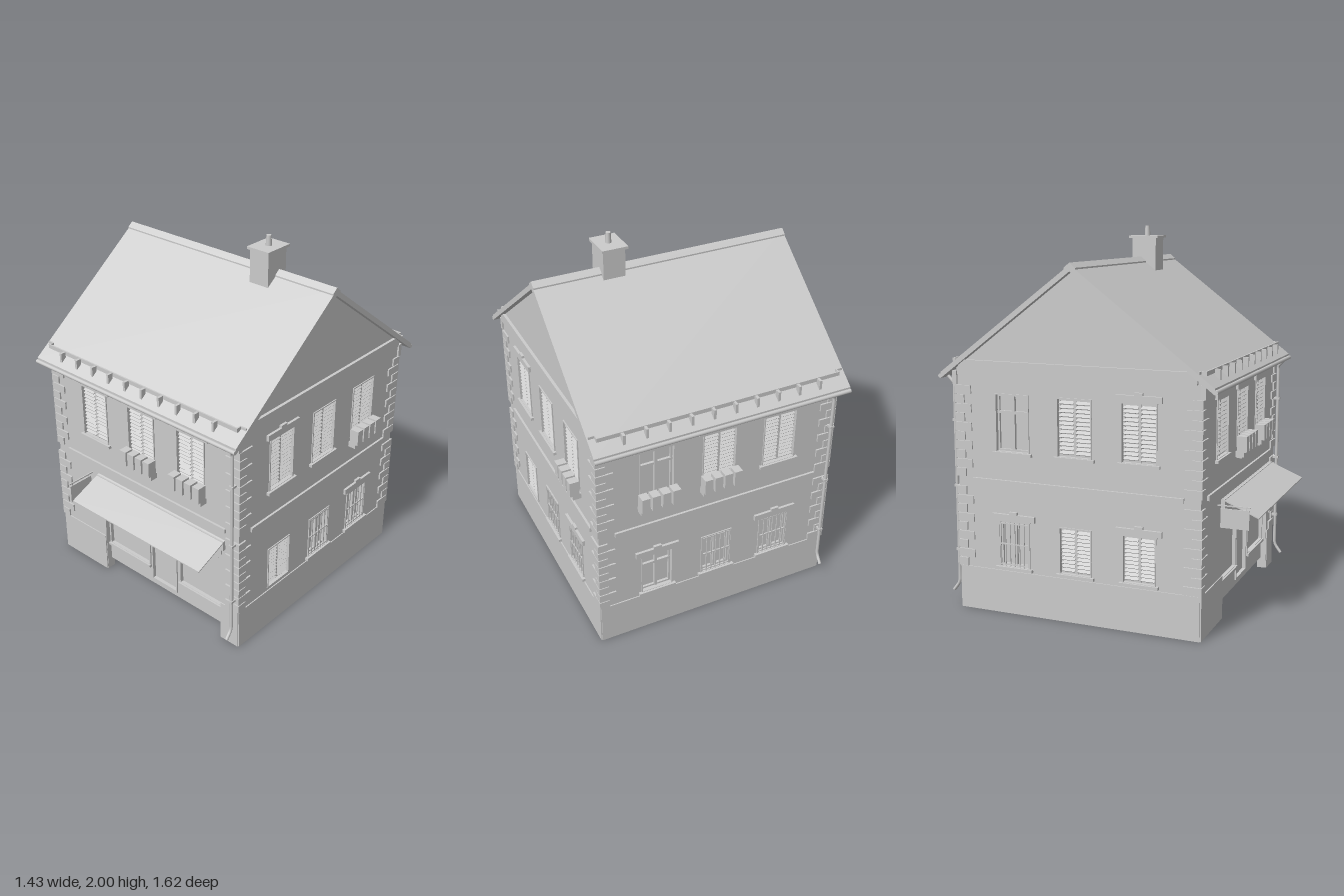
import * as THREE from 'three';

const mat = new THREE.MeshStandardMaterial({ color: 0xcccccc, flatShading: true, side: THREE.DoubleSide });
const smooth = new THREE.MeshStandardMaterial({ color: 0xcccccc, side: THREE.DoubleSide });
const CX = -0.0175, CZ = -0.055, H = 0.666; // house centre and half width
const SLOPE = 0.755, RIDGE = 1.82;

function add(parent, name, geo, x = 0, y = 0, z = 0, m = mat) {
  const mesh = new THREE.Mesh(geo, m);
  mesh.name = name;
  mesh.position.set(x, y, z);
  parent.add(mesh);
  return mesh;
}
// box given by its limits
function box(parent, name, x0, x1, y0, y1, z0, z1) {
  return add(parent, name, new THREE.BoxGeometry(x1 - x0, y1 - y0, z1 - z0),
    (x0 + x1) / 2, (y0 + y1) / 2, (z0 + z1) / 2);
}
function group(parent, name) {
  const g = new THREE.Group();
  g.name = name;
  parent.add(g);
  return g;
}
const shapeOf = pts => new THREE.Shape(pts.map(p => new THREE.Vector2(...p)));
const rectPath = (x0, x1, y0, y1) =>
  new THREE.Path([[x0, y0], [x0, y1], [x1, y1], [x1, y0]].map(p => new THREE.Vector2(...p)));
const rectShape = (x0, x1, y0, y1) => shapeOf([[x0, y0], [x1, y0], [x1, y1], [x0, y1]]);
const extrude = (shape, depth) => new THREE.ExtrudeGeometry(shape, { depth, bevelEnabled: false });

// rectangular ring lying on the wall plane
function ring(parent, name, x0, x1, y0, y1, t, z0, z1) {
  const s = rectShape(x0, x1, y0, y1);
  s.holes.push(rectPath(x0 + t, x1 - t, y0 + t, y1 - t));
  return add(parent, name, extrude(s, z1 - z0), 0, 0, z0);
}

// flower box with four upright troughs
function planter(wall, u) {
  const g = group(wall, 'planter');
  box(g, 'planterShelf', u - 0.105, u + 0.105, 0.81, 0.84, 0, 0.045);
  for (const s of [-1, 1]) box(g, 'planterFoot', u + s * 0.08 - 0.008, u + s * 0.08 + 0.008, 0.8, 0.81, 0, 0.03);
  for (let i = 0; i < 4; i++) {
    const x = u - 0.084 + i * 0.056;
    box(g, 'planterTrough', x - 0.022, x + 0.022, 0.835, 0.92, 0.008, 0.06);
  }
}

// kind: plain, louver or bars; extras: h = header, p = planter, s = sill
function windowUnit(wall, u, upper, kind, extras) {
  const g = group(wall, 'window');
  const w = upper ? 0.096 : 0.09, y0 = upper ? 0.86 : 0.25, y1 = upper ? 1.165 : 0.5;
  ring(g, 'windowReveal', u - w, u + w, y0, y1, 0.006, -0.035, 0.006);
  ring(g, 'windowFrame', u - w, u + w, y0, y1, 0.016, -0.03, -0.015);
  box(g, 'windowPane', u - w, u + w, y0, y1, -0.035, -0.028);
  box(g, 'mullion', u - 0.008, u + 0.008, y0, y1, -0.03, -0.012);
  if (kind === 'plain') {
    const yt = y0 + (y1 - y0) * 0.68;
    box(g, 'transom', u - w, u + w, yt - 0.007, yt + 0.007, -0.03, -0.014);
  } else if (kind === 'louver') {
    const n = upper ? 13 : 11, step = (y1 - y0 - 0.03) / n;
    for (let i = 0; i < n; i++)
      for (const s of [-1, 1]) {
        const slat = add(g, 'shutterSlat', new THREE.BoxGeometry(w - 0.018, 0.004, 0.022),
          u + s * (w / 2 - 0.002), y0 + 0.015 + (i + 0.5) * step, -0.012);
        slat.rotation.x = 0.6;
      }
  } else {
    for (let i = 0; i < 7; i++)
      box(g, 'windowBar', u - 0.081 + i * 0.027 - 0.003, u - 0.081 + i * 0.027 + 0.003, y0, y1, -0.003, 0.003);
    for (const f of [0.06, 0.5, 0.94]) {
      const y = y0 + (y1 - y0) * f;
      box(g, 'windowCrossBar', u - w, u + w, y - 0.003, y + 0.003, -0.003, 0.004);
    }
  }
  if (extras.includes('s')) box(g, 'windowSill', u - w - 0.015, u + w + 0.015, y0 - 0.012, y0 + 0.004, -0.02, 0.018);
  if (extras.includes('h')) {
    const header = shapeOf([[-0.122, -0.035], [-0.1, -0.035], [-0.1, 0], [0.1, 0], [0.1, -0.035], [0.122, -0.035],
      [0.122, 0.036], [0.022, 0.036], [0.022, 0.05], [-0.022, 0.05], [-0.022, 0.036], [-0.122, 0.036]]
      .map(([x, y]) => [x, y < 0 ? 0.004 : y]));
    add(g, 'windowHeader', extrude(header, 0.014), u, y1, 0);
  }
  if (extras.includes('p')) planter(wall, u);
}

// one facade in its own frame: x along the wall, z outward
function facade(house, name, turn, isGable, isShop, upper, lower) {
  const wall = group(house, name);
  wall.position.set(CX + Math.sin(turn) * H, 0, CZ + Math.cos(turn) * H);
  wall.rotation.y = turn;
  const pts = isShop
    ? [[-H, 0], [-0.322, 0], [-0.322, 0.53], [0.547, 0.53], [0.547, 0], [H, 0]] : [[-H, 0], [H, 0]];
  pts.push([H, 1.295]);
  if (isGable) pts.push([0, 1.795]);
  pts.push([-H, 1.295]);
  const s = shapeOf(pts);
  const us = [-0.347, 0, 0.347];
  us.forEach((u, i) => {
    if (upper[i]) s.holes.push(rectPath(u - 0.094, u + 0.094, 0.862, 1.163));
    if (lower[i]) s.holes.push(rectPath(u - 0.088, u + 0.088, 0.252, 0.498));
    if (upper[i]) windowUnit(wall, u, true, ...upper[i]);
    if (lower[i]) windowUnit(wall, u, false, ...lower[i]);
  });
  add(wall, 'wallSheet', new THREE.ShapeGeometry(s));
  // plinth, string course and cornice
  const runs = isShop ? [[-H, -0.322], [0.547, H]] : [[-H, H]];
  for (const [a, b] of runs) box(wall, 'plinth', a, b, 0, 0.23, -0.006, 0.006);
  box(wall, 'stringCourse', -0.58, 0.58, 0.69, 0.715, 0, 0.012);
  if (isGable) box(wall, 'gableLedge', -0.645, 0.645, 1.27, 1.33, -0.005, 0.016);
  else box(wall, 'eavesCornice', -H - 0.01, H + 0.01, 1.2, 1.27, -0.005, 0.02);
  // quoins, long and short in turn, swapped at the other end
  for (let i = 0; i < 20; i++) {
    if (i === 9) continue;
    const y = 0.232 + i * 0.0485;
    for (const side of [-1, 1]) {
      const len = (i % 2 === 0) === (side > 0) ? 0.085 : 0.045;
      const a = side * (H + 0.009), b = side * (H - len);
      box(wall, 'quoin', Math.min(a, b), Math.max(a, b), y, y + 0.043, -0.003, 0.009);
    }
  }
  return wall;
}

function shopFront(wall) {
  const g = group(wall, 'shopFront');
  const s = rectShape(-0.322, 0.547, 0.06, 0.53);
  const panes = [[-0.306, 0.0, 0.18], [0.235, 0.535, 0.18], [0.025, 0.2, 0.1]];
  for (const [a, b, y] of panes) s.holes.push(rectPath(a, b, y, 0.5));
  add(g, 'shopPanel', extrude(s, 0.02), 0, 0, -0.05);
  for (const [a, b, y] of panes) {
    box(g, 'shopGlass', a, b, y, 0.5, -0.05, -0.042);
    ring(g, 'shopWindowFrame', a - 0.008, b + 0.008, y - 0.008, 0.508, 0.01, -0.045, -0.022);
  }
  for (const i of [0, 1]) box(g, 'shopWindowLedge', panes[i][0] - 0.01, panes[i][1] + 0.01, 0.165, 0.18, -0.03, -0.012);
  for (const x of [-0.322, 0.547]) box(g, 'shopReveal', x - 0.003, x + 0.003, 0, 0.53, -0.05, 0);
  box(g, 'shopLintel', -0.322, 0.547, 0.524, 0.53, -0.05, 0);

  // awning: cassette, sloping cloth and pointed trim
  const a = group(wall, 'awning');
  box(a, 'awningCassette', -0.347, 0.577, 0.585, 0.64, 0, 0.02);
  const cloth = shapeOf([[0.005, 0.643], [0.199, 0.562], [0.199, 0.556], [0.005, 0.637]]);
  const c = add(a, 'awningCloth', extrude(cloth, 0.924), 0.577);
  c.rotation.y = -Math.PI / 2;
  const trim = [[-0.335, 0.585], [-0.335, 0.558]];
  for (let i = 0; i < 20; i++) trim.push([-0.335 + (i + 0.5) * 0.045, 0.528], [-0.335 + (i + 1) * 0.045, 0.558]);
  trim.push([0.565, 0.585]);
  add(a, 'awningTrim', extrude(shapeOf(trim), 0.006), 0, 0, 0.014);

  // hanging sign board, left blank
  const sign = group(wall, 'hangingSign');
  box(sign, 'signBoard', -0.406, -0.4, 0.51, 0.61, 0.015, 0.165);
  box(sign, 'signArm', -0.406, -0.4, 0.622, 0.628, 0, 0.17);
  for (const z of [0.03, 0.15]) box(sign, 'signHanger', -0.405, -0.401, 0.61, 0.622, z - 0.002, z + 0.002);
}

function roof(house) {
  const g = group(house, 'roof');
  const e = 0.738, ye = RIDGE - SLOPE * e, t = 0.032;
  const profile = shapeOf([[0, RIDGE], [-e, ye], [-e, ye - t], [0, RIDGE - t], [e, ye - t], [e, ye]]);
  const slab = add(g, 'roofSlab', extrude(profile, 1.405), 0.685, 0, CZ);
  slab.rotation.y = -Math.PI / 2;
  const r = 0.03, cap = shapeOf([[0, RIDGE + 0.01], [-r, RIDGE + 0.008 - SLOPE * r], [-r, RIDGE - 0.005 - SLOPE * r],
    [0, RIDGE - 0.005], [r, RIDGE - 0.005 - SLOPE * r], [r, RIDGE + 0.008 - SLOPE * r]]);
  const ridge = add(g, 'ridgeCap', extrude(cap, 1.405), 0.685, 0, CZ);
  ridge.rotation.y = -Math.PI / 2;
  for (const s of [-1, 1]) {
    const side = group(g, 'eaves');
    side.position.set(CX, 0, CZ);
    if (s < 0) side.rotation.y = Math.PI;
    const gutter = add(side, 'gutter', new THREE.CylinderGeometry(0.011, 0.011, 1.405, 10), 0, 1.243, 0.742, smooth);
    gutter.rotation.z = Math.PI / 2;
    // snow guard
    box(side, 'snowRail', -0.665, 0.665, 1.313, 1.335, 0.678, 0.686);
    for (const k of [-1, 1]) {
      box(side, 'snowRailReturn', k * 0.661 - 0.004, k * 0.661 + 0.004, 1.313, 1.335, 0.655, 0.686);
      box(side, 'snowRailEnd', k * 0.68 - 0.016, k * 0.68 + 0.016, 1.318, 1.335, 0.652, 0.66);
    }
    for (let i = 0; i < 10; i++) {
      const x = -0.537 + i * 0.1193;
      box(side, 'snowRailBracket', x - 0.007, x + 0.007, 1.27, 1.332, 0.686, 0.715);
    }
  }
}

function chimney(house) {
  const g = group(house, 'chimney');
  box(g, 'chimneyStack', 0.21, 0.328, 1.745, 1.932, -0.108, 0.032);
  box(g, 'chimneyCap', 0.2, 0.338, 1.932, 1.946, -0.124, 0.045);
  add(g, 'chimneyPot', new THREE.CylinderGeometry(0.013, 0.016, 0.056, 12), 0.27, 1.972, -0.04, smooth);
}

// rain pipe with a kicked-out foot
function rainPipe(wall, u) {
  const path = new THREE.CurvePath();
  const pts = [[1.243, 0.07], [1.2, 0.028], [0.14, 0.028], [0.115, 0.035], [0.075, 0.066]]
    .map(([y, z]) => new THREE.Vector3(u, y, z));
  for (let i = 1; i < pts.length; i++) path.add(new THREE.LineCurve3(pts[i - 1], pts[i]));
  add(wall, 'rainPipe', new THREE.TubeGeometry(path, 60, 0.009, 8), 0, 0, 0, smooth);
  for (const y of [0.3, 0.65, 1.0]) box(wall, 'pipeClip', u - 0.012, u + 0.012, y, y + 0.012, 0, 0.04);
}

export function createModel() {
  const house = new THREE.Group();
  house.name = 'house';
  const L = 'louver', P = 'plain', B = 'bars';
  const front = facade(house, 'frontWall', 0, false, true, [[L, 'hs'], [L, 'hp'], [L, 'hp']], []);
  const back = facade(house, 'backWall', Math.PI, false, false,
    [[P, 'hp'], [L, 'hp'], [L, 'hs']], [[P, 'hs'], [B, 's'], [B, 'hs']]);
  facade(house, 'leftWall', Math.PI / 2, true, false,
    [[L, 'hs'], [L, 's'], [L, 'p']], [[L, ''], [B, 's'], [B, 'hs']]);
  facade(house, 'rightWall', -Math.PI / 2, true, false,
    [[P, 's'], [L, 's'], [L, 'hs']], [[B, 'hs'], [L, 's'], [L, 'hs']]);
  shopFront(front);
  rainPipe(front, 0.643);
  rainPipe(back, 0.643);
  roof(house);
  chimney(house);
  return house;
}
